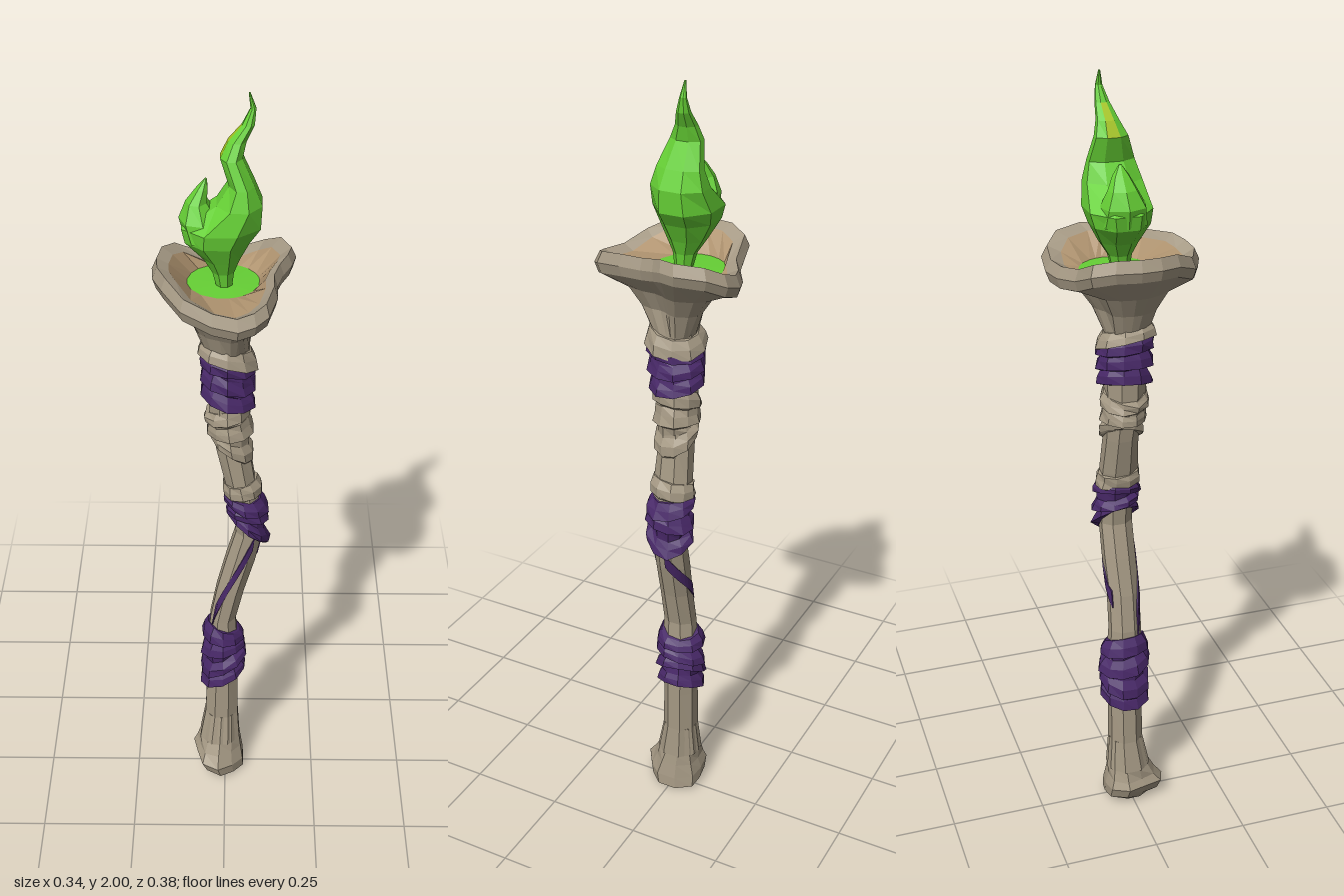
import * as THREE from 'three';

const mat = (name, color) => Object.assign(new THREE.MeshStandardMaterial({ color }), { name });
const V = (x, y, z) => new THREE.Vector3(x, y, z);
const lerp = THREE.MathUtils.lerp;

// Faceted skin over a stack of rings; pick(i, j) chooses the material of each face
function loft(name, rings, materials, pick = () => 0) {
  const buckets = materials.map(() => []);
  const n = rings[0].length, last = rings.length - 1;
  const add = (m, ...pts) => pts.forEach(p => buckets[m].push(p.x, p.y, p.z));
  const middle = r => r.reduce((s, p) => s.add(p), V(0, 0, 0)).divideScalar(n);
  const low = middle(rings[0]), high = middle(rings[last]);
  for (let j = 0; j < n; j++) {
    const k = (j + 1) % n;
    for (let i = 0; i < last; i++) {
      const a = rings[i][j], b = rings[i][k], c = rings[i + 1][k], d = rings[i + 1][j];
      add(pick(i, j), a, d, c, a, c, b);
    }
    add(pick(0, j), low, rings[0][j], rings[0][k]);
    add(pick(last, j), high, rings[last][k], rings[last][j]);
  }
  const geo = new THREE.BufferGeometry();
  geo.setAttribute('position', new THREE.Float32BufferAttribute(buckets.flat(), 3));
  let start = 0;
  buckets.forEach((b, m) => { geo.addGroup(start, b.length / 3, m); start += b.length / 3; });
  geo.computeVertexNormals();
  const mesh = new THREE.Mesh(geo, materials.length > 1 ? materials : materials[0]);
  mesh.name = name;
  return mesh;
}

// Ring from its extents [y, xMin, xMax, zMin, zMax], grown by g and tilted sideways
function ring([y, x0, x1, z0, z1], n, g = 0, tiltX = 0, tiltZ = 0, wobble = () => 0) {
  const f = 1 / Math.cos(Math.PI / n);
  return Array.from({ length: n }, (_, j) => {
    const t = (j + 0.5) / n * Math.PI * 2, c = Math.cos(t), s = Math.sin(t), w = g + wobble();
    return V((x0 + x1) / 2 + c * f * ((x1 - x0) / 2 + w), y + tiltX * c + tiltZ * s,
      (z0 + z1) / 2 + s * f * ((z1 - z0) / 2 + w));
  });
}

// Crooked shaft
const SHAFT = [
  [0.11, -0.07, 0.04, -0.062, 0.05], [0.2, -0.055, 0.035, -0.055, 0.032],
  [0.32, -0.05, 0.035, -0.055, 0.03], [0.42, -0.045, 0.035, -0.06, 0.033],
  [0.55, -0.04, 0.028, -0.052, 0.03], [0.65, -0.022, 0.05, -0.05, 0.03],
  [0.75, 0.003, 0.078, -0.055, 0.028], [0.84, 0.028, 0.096, -0.056, 0.026],
  [0.92, 0.02, 0.09, -0.057, 0.027], [1.0, 0.0, 0.075, -0.06, 0.033],
  [1.1, -0.022, 0.06, -0.055, 0.028], [1.2, -0.038, 0.048, -0.055, 0.04],
  [1.32, -0.042, 0.055, -0.058, 0.045], [1.41, -0.045, 0.055, -0.055, 0.05]];

function shaftAt(y) {
  let i = 0;
  while (i < SHAFT.length - 2 && SHAFT[i + 1][0] < y) i++;
  const a = SHAFT[i], b = SHAFT[i + 1], t = (y - a[0]) / (b[0] - a[0]);
  return a.map((v, k) => lerp(v, b[k], t));
}

// Overlapping turns of cloth around the shaft
function wrap(name, material, y0, y1, turns, bulge, tiltLow, tiltHigh, seed) {
  const random = () => (seed = (seed * 16807) % 2147483647) / 2147483647;
  const wobble = () => (random() - 0.5) * 0.007;
  const rings = [];
  for (let k = 0; k < turns; k++) {
    const slant = (random() - 0.5) * 0.025, slantZ = (random() - 0.5) * 0.03;
    for (const [u, g] of [[0.02, 0.3], [0.15, 1.05], [0.6, 0.85], [0.98, 0.3]]) {
      const t = (k + u) / turns, y = lerp(y0, y1, t);
      rings.push(ring(shaftAt(y), 10, bulge * g, lerp(tiltLow, tiltHigh, t) + slant, slantZ, wobble));
    }
  }
  return loft(name, rings, [material]);
}

// Loose strip lying on the shaft; the angle must fall along the strip
function ribbon(name, material, a0, y0, a1, y1, width) {
  const rings = [];
  for (let i = 0; i <= 10; i++) {
    const t = i / 10, a = lerp(a0, a1, t) * Math.PI / 180;
    const at = (y, grow) => {
      const [, x0, x1, z0, z1] = shaftAt(y);
      return V((x0 + x1) / 2 + Math.cos(a) * ((x1 - x0) / 2 + grow), y,
        (z0 + z1) / 2 + Math.sin(a) * ((z1 - z0) / 2 + grow));
    };
    const y = lerp(y0, y1, t), h = width / 2;
    rings.push([at(y - h, -0.004), at(y - h, 0.005), at(y + h, 0.005), at(y + h, -0.004)]);
  }
  return loft(name, rings, [material]);
}

// Uneven rim outline, x and z, running from +x towards +z
const RIM = [[0.135, -0.01], [0.12, 0.03], [0.12, 0.085], [0.1, 0.155], [0.07, 0.18], [0.03, 0.19],
  [-0.03, 0.165], [-0.1, 0.135], [-0.145, 0.08], [-0.167, 0.03], [-0.17, -0.02], [-0.16, -0.08],
  [-0.13, -0.13], [-0.05, -0.145], [0, -0.175], [0.045, -0.19], [0.1, -0.185], [0.14, -0.15],
  [0.165, -0.08], [0.155, -0.04]];

function bowl(materials) {
  const rimY = x => 1.55 + 0.052 * Math.min(1, (x / 0.15) ** 2);
  const scaled = (s, yOf) => RIM.map(([x, z]) => V(x * s, yOf(rimY(x)), z * s));
  const circle = (r, y, cx, cz) => RIM.map(([x, z]) => {
    const a = Math.atan2(z, x);
    return V(cx + r * Math.cos(a), y, cz + r * Math.sin(a));
  });
  const rings = [
    circle(0.054, 1.385, 0.005, -0.003),
    scaled(0.43, () => 1.45), scaled(0.6, y => lerp(1.49, y, 0.1)),
    scaled(0.95, y => y - 0.038), scaled(1, y => y - 0.012), scaled(0.93, y => y + 0.016),
    scaled(0.77, y => y + 0.002), circle(0.085, 1.55, -0.005, -0.035), circle(0.03, 1.552, 0, -0.025)];
  return loft('bowl', rings, materials, i => (i < 6 ? 0 : i < 7 ? 1 : 2));
}

export function createModel() {
  const bone = mat('bone', 0xa59984);
  const hollow = mat('bowl inside', 0xb09470);
  const cloth = mat('purple cloth', 0x482868);
  const green = mat('green flame', 0x66d035);
  const glow = mat('yellow glow', 0xa6c520);
  const group = new THREE.Group();

  group.add(loft('shaft', SHAFT.map(r => ring(r, 8)), [bone]));

  // Knobbly foot with lobes
  const foot = [[0, -0.045, 0.04, -0.05, 0.055], [0.018, -0.075, 0.052, -0.078, 0.08],
    [0.05, -0.09, 0.05, -0.078, 0.088], [0.08, -0.08, 0.044, -0.068, 0.066], SHAFT[0], SHAFT[1]]
    .map((r, i) => ring(r, 10, 0, i < 3 ? -0.012 * (i > 0) : 0).map((p, j) => {
      const k = i > 0 && i < 4 && j % 3 === 1 ? 0.87 : 1;
      return V(p.x * k, p.y, p.z * k);
    }));
  group.add(loft('foot', foot, [bone]));

  // Cloth and bone-coloured bindings
  group.add(
    wrap('lowerWrap', cloth, 0.335, 0.52, 4, 0.019, 0.04, -0.012, 11),
    wrap('middleWrap', cloth, 0.845, 0.96, 3, 0.019, -0.035, 0, 29),
    wrap('middleFold', bone, 0.955, 1.0, 1, 0.012, 0.015, 0.02, 5),
    wrap('paleWrap', bone, 1.1, 1.235, 3, 0.012, -0.025, 0.015, 47),
    wrap('upperWrap', cloth, 1.245, 1.375, 3, 0.018, -0.005, -0.018, 71),
    wrap('neckBand', bone, 1.352, 1.4, 1, 0.02, -0.012, 0, 83),
    ribbon('frontStrip', cloth, 140, 0.57, 60, 0.83, 0.07),
    ribbon('backStrip', cloth, 0, 0.78, -125, 0.64, 0.045));

  group.add(bowl([bone, hollow, green]));

  // Flame: twisting main tongue with a yellow patch, and a small side tongue
  const tongue = [[1.545, -0.02, 0.015, -0.04, 0], [1.585, -0.03, 0.02, -0.05, 0.005],
    [1.62, -0.05, 0.033, -0.072, 0.02], [1.665, -0.092, 0.055, -0.095, 0.04],
    [1.7, -0.1, 0.08, -0.105, 0.046], [1.755, -0.02, 0.083, -0.095, 0.038],
    [1.8, 0.008, 0.065, -0.085, 0.024], [1.86, -0.012, 0.038, -0.074, 0.002],
    [1.895, 0.005, 0.046, -0.066, -0.016], [1.93, 0.036, 0.064, -0.062, -0.03],
    [1.965, 0.054, 0.067, -0.058, -0.042], [2, 0.05, 0.054, -0.053, -0.049]];
  group.add(loft('flame', tongue.map(r => ring(r, 8)), [green, glow],
    (i, j) => (j === 3 && (i === 7 || i === 8) ? 1 : 0)));
  const side = [[1.67, -0.09, 0, -0.085, 0.03], [1.715, -0.102, -0.018, -0.08, 0.022],
    [1.755, -0.088, -0.042, -0.065, 0], [1.785, -0.066, -0.04, -0.052, -0.015],
    [1.808, -0.047, -0.042, -0.036, -0.03]];
  group.add(loft('sideFlame', side.map(r => ring(r, 7)), [green]));
  return group;
}
